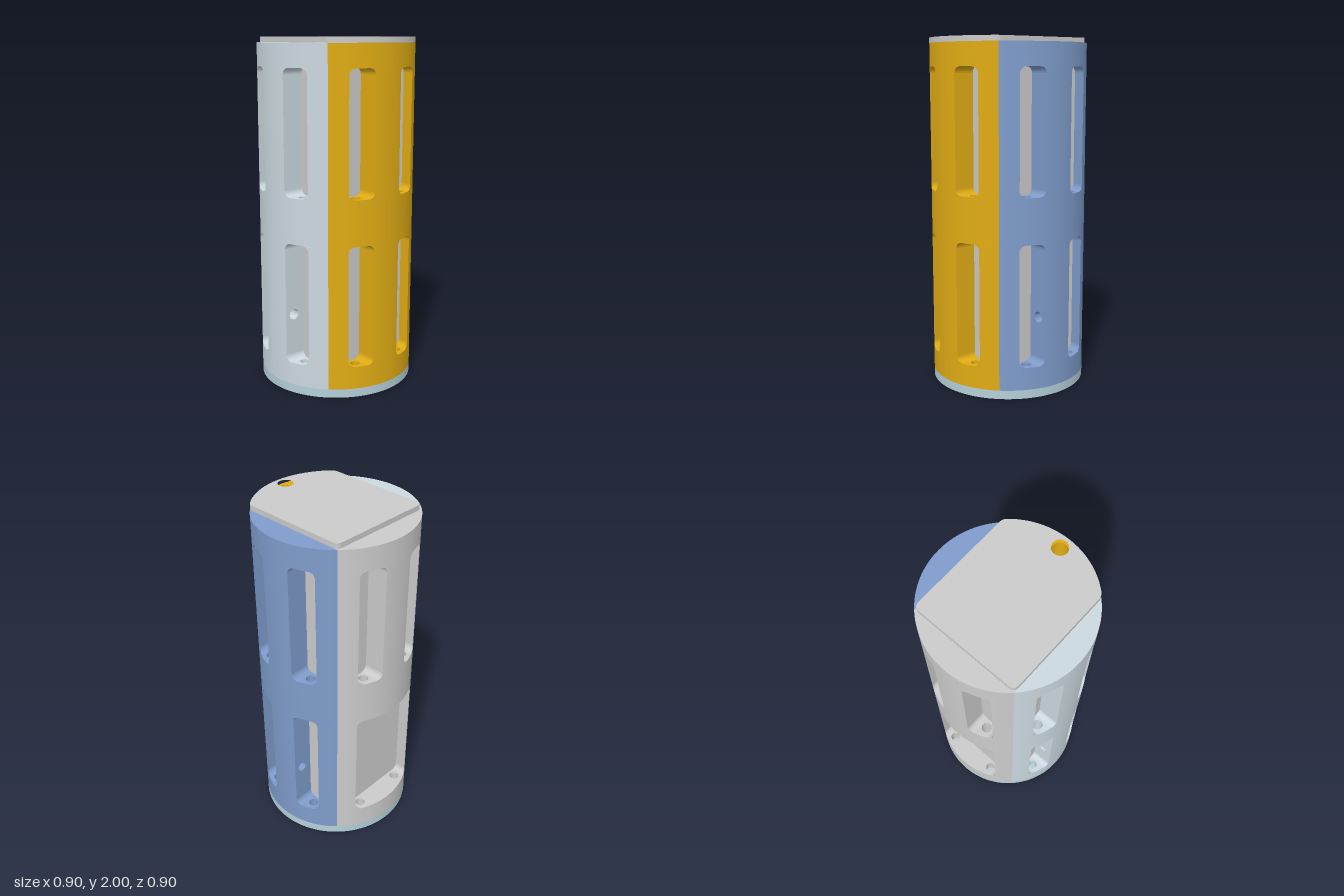
import * as THREE from 'three';
import { mergeGeometries, toCreasedNormals } from 'three/addons/utils/BufferGeometryUtils.js';

const R = 0.45, H = 0.318;              // outer radius, half width of the square core
const FILLET = 0.035;                   // window corner radius
const arcW = u => Math.sqrt(R * R - u * u);
const crease = g => toCreasedNormals(g, 0.5);
const mat = color => new THREE.MeshStandardMaterial({ color });

// Extrudes a plan shape (x, -z) upward from y0 to y1
function slab(shape, y0, y1) {
  const g = new THREE.ExtrudeGeometry(shape, { depth: y1 - y0, bevelEnabled: false, curveSegments: 20 });
  return crease(g.rotateX(-Math.PI / 2).translate(0, y0, 0));
}

function circleHole(x, z, r) {
  return new THREE.Path().absarc(x, -z, r, 0, Math.PI * 2, true);
}

// Piece between the core face and the outer cylinder, from u0 to u1
function wedge(u0, u1, y0, y1, holes = []) {
  const a0 = Math.asin(u0 / R), a1 = Math.asin(u1 / R);
  const n = Math.max(3, Math.ceil((a1 - a0) / 0.035));
  const pts = [];
  for (let i = 0; i <= n; i++) {
    const a = a0 + (a1 - a0) * i / n;
    pts.push(new THREE.Vector2(R * Math.sin(a), -R * Math.cos(a)));
  }
  if (arcW(u1) > H + 0.002) pts.push(new THREE.Vector2(u1, -H));
  if (arcW(u0) > H + 0.002) pts.push(new THREE.Vector2(u0, -H));
  const shape = new THREE.Shape(pts);
  shape.holes.push(...holes);
  return slab(shape, y0, y1);
}

// Concave rounding in a window corner, its outer end lying on the cylinder
function cornerFillet(u, y, su, sy) {
  const pts = [new THREE.Vector2(u, y)];
  for (let i = 0; i <= 6; i++) {
    const a = i / 6 * Math.PI / 2;
    pts.push(new THREE.Vector2(u + su * FILLET * (1 - Math.sin(a)), y + sy * FILLET * (1 - Math.cos(a))));
  }
  const g = new THREE.ExtrudeGeometry(new THREE.Shape(pts), { depth: 1, bevelEnabled: false });
  const p = g.attributes.position;
  for (let i = 0; i < p.count; i++) p.setZ(i, p.getZ(i) > 0.5 ? arcW(p.getX(i)) : H);
  return crease(g);
}

// Block of the middle rib with a sideways screw hole
function drilledRib(half, y0, y1) {
  const shape = new THREE.Shape([[H, y0], [R, y0], [R, y1], [H, y1]].map(q => new THREE.Vector2(...q)));
  shape.holes.push(new THREE.Path().absarc(0.385, (y0 + y1) / 2, 0.031, 0, Math.PI * 2, true));
  const g = new THREE.ExtrudeGeometry(shape, { depth: 2 * half, steps: 12, bevelEnabled: false, curveSegments: 16 });
  g.translate(0, 0, -half).rotateY(-Math.PI / 2);
  const p = g.attributes.position;
  for (let i = 0; i < p.count; i++) {
    if (p.getZ(i) > R - 1e-4) p.setZ(i, arcW(p.getX(i)));
  }
  return crease(g);
}

const PAIR = [[-0.23, -0.09], [0.09, 0.23]];
const WIDE = [[-0.23, 0.23]];
const EDGE = R * Math.SQRT1_2;

// One quarter of the casing, facing +z
function shellQuarter({ lower = PAIR, sideHole = false, duct = false }) {
  const ductHole = () => (duct ? [circleHole(0, 0.385, 0.045)] : []);
  const screwHoles = () => [-0.16, 0.16].map(u => circleHole(u, 0.362, 0.028));
  const parts = [
    wedge(-EDGE, EDGE, 0.05, 0.18, [...ductHole(), ...screwHoles()]),
    wedge(-EDGE, EDGE, 0.88, 1.14, [...ductHole(), ...screwHoles()]),
    wedge(-EDGE, EDGE, 1.84, 1.97, ductHole()),
  ];
  for (const [wins, y0, y1] of [[lower, 0.18, 0.88], [PAIR, 1.14, 1.84]]) {
    // outer ribs
    parts.push(wedge(-EDGE, -0.23, y0, y1), wedge(0.23, EDGE, y0, y1));
    // middle rib
    if (wins === PAIR) {
      if (sideHole && y0 < 1) {
        parts.push(wedge(-0.09, 0.09, y0, 0.4), drilledRib(0.09, 0.4, 0.5), wedge(-0.09, 0.09, 0.5, y1));
      } else {
        parts.push(wedge(-0.09, 0.09, y0, y1, ductHole()));
      }
    }
    for (const [a, b] of wins) {
      parts.push(cornerFillet(a, y0, 1, 1), cornerFillet(b, y0, -1, 1),
        cornerFillet(a, y1, 1, -1), cornerFillet(b, y1, -1, -1));
    }
  }
  return mergeGeometries(parts);
}

export function createModel() {
  const model = new THREE.Group();
  const add = (name, geometry, color, turn = 0) => {
    const m = new THREE.Mesh(geometry, mat(color));
    m.name = name;
    m.rotation.y = turn;
    model.add(m);
  };

  // Base disc with a round duct at the front and three slots
  const base = new THREE.Shape().absarc(0, 0, R, 0, Math.PI * 2);
  base.holes.push(circleHole(0, 0.385, 0.045));
  for (const t of [0, Math.PI / 2, Math.PI]) {
    const slot = [];
    for (let i = 0; i <= 20; i++) {
      const a = (i % 21) / 20 * Math.PI * 2;
      if (i === 20) break;
      const x = 0.385 + 0.033 * Math.cos(a);
      const y = 0.033 * Math.sin(a) + (i < 10 ? 0.045 : -0.045);
      slot.push(new THREE.Vector2(x, y).rotateAround(new THREE.Vector2(), t));
    }
    base.holes.push(new THREE.Path(slot));
  }
  const baseGeo = new THREE.ExtrudeGeometry(base, { depth: 0.05, bevelEnabled: false, curveSegments: 96 });
  add('baseDisc', crease(baseGeo.rotateX(-Math.PI / 2)), 0xb5d0da);

  // Square inner core
  add('core', new THREE.BoxGeometry(2 * H, 1.92, 2 * H).translate(0, 1.01, 0), 0xcccccc);

  // Four casing quarters
  add('frontShell', shellQuarter({ duct: true }), 0xe0ac14);
  add('leftShell', shellQuarter({ sideHole: true }), 0x7f9ccb, Math.PI / 2);
  add('backShell', shellQuarter({ lower: WIDE }), 0xcccccc, Math.PI);
  add('rightShell', shellQuarter({ sideHole: true }), 0xcbd9e0, -Math.PI / 2);

  // Lid: square at the back, round at the front
  const c = 0.035, fx = 0.302, fz = arcW(fx), a = Math.atan2(fz, fx);
  const lid = new THREE.Shape();
  lid.moveTo(-H + c, H);
  lid.lineTo(H - c, H);
  lid.quadraticCurveTo(H, H, H, H - c);
  lid.lineTo(H, -0.295);
  lid.quadraticCurveTo(H, -0.318, fx, -fz);
  lid.absarc(0, 0, R, -a, -Math.PI + a, true);
  lid.quadraticCurveTo(-H, -0.318, -H, -0.295);
  lid.lineTo(-H, H - c);
  lid.quadraticCurveTo(-H, H, -H + c, H);
  lid.holes.push(circleHole(0, 0.385, 0.045));
  add('lid', slab(lid, 1.97, 2), 0xcccccc);

  return model;
}
